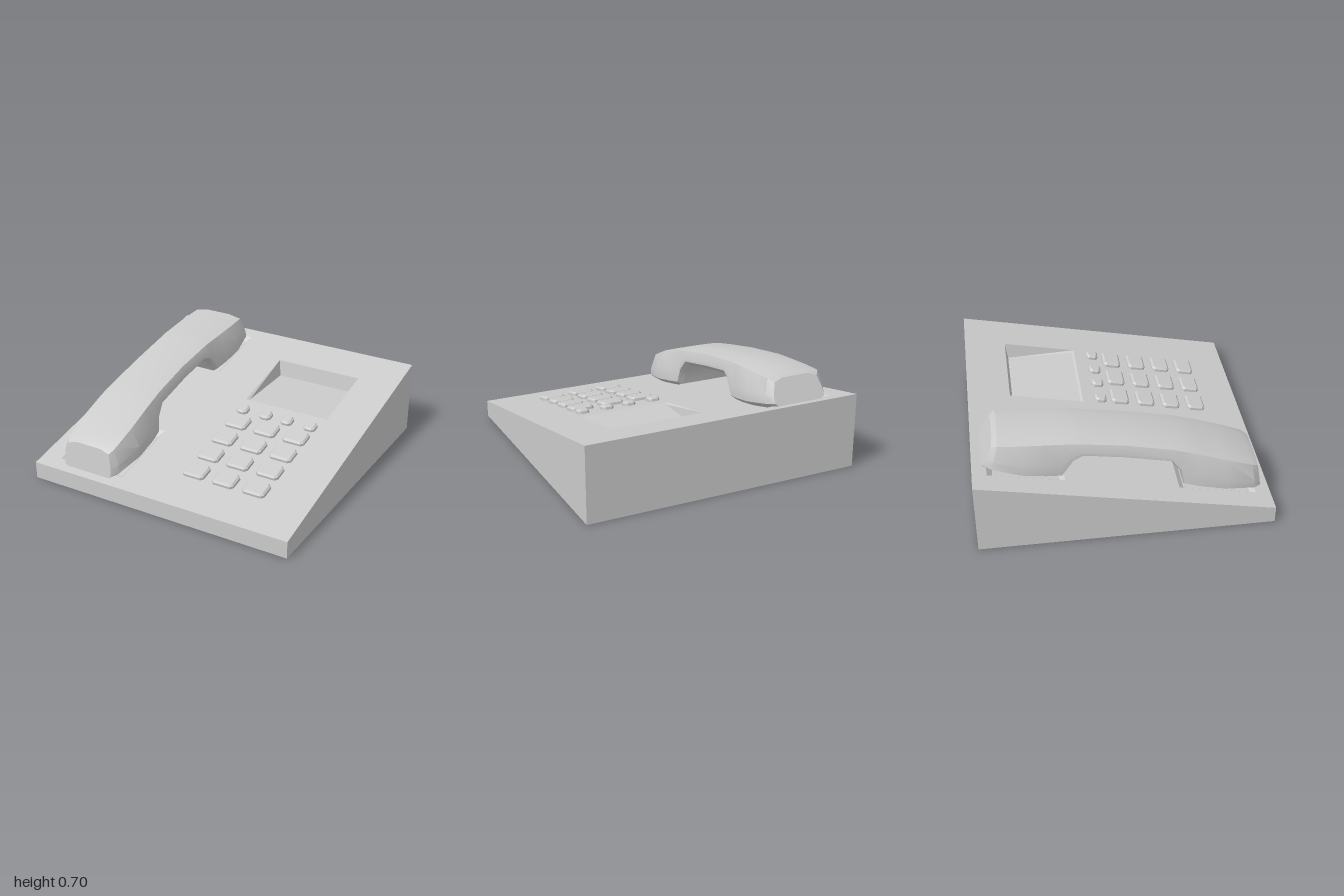
import * as THREE from 'three';
import { toCreasedNormals } from 'three/addons/utils/BufferGeometryUtils.js';

const material = new THREE.MeshStandardMaterial({ color: 0xcccccc });
const slope = 0.205;
const surface = (z) => 0.325 - slope * z; // height of the sloping top

function makeMesh(name, geometry) {
  const mesh = new THREE.Mesh(geometry, material);
  mesh.name = name;
  return mesh;
}

// Flat-shaded geometry from four-cornered faces
function fromQuads(quads) {
  const pos = [];
  for (const [a, b, c, d] of quads) pos.push(...a, ...b, ...c, ...a, ...c, ...d);
  const g = new THREE.BufferGeometry();
  g.setAttribute('position', new THREE.Float32BufferAttribute(pos, 3));
  g.computeVertexNormals();
  return g;
}

// Corners of a rectangle, counter-clockwise from above, with height from a rule
const corners = (x0, x1, z0, z1, height) =>
  [[x0, z1], [x1, z1], [x1, z0], [x0, z0]].map(([x, z]) => [x, height(z), z]);

// Band of four faces between two corner loops
const band = (a, b) => a.map((p, k) => [p, a[(k + 1) % 4], b[(k + 1) % 4], b[k]]);

// Sunken areas in the top: screen and the two handset cradles
const recesses = [
  { name: 'screenRecess', rect: [0.035, 0.685, -0.7, -0.18], inset: 0.018, floor: () => 0.352 },
  { name: 'earCradle', rect: [-0.84, -0.32, -0.9, -0.4], inset: 0.035, floor: (z) => surface(z) - 0.03 },
  { name: 'mouthCradle', rect: [-0.84, -0.32, 0.36, 0.89], inset: 0.035, floor: (z) => surface(z) - 0.03 },
];

function createBase() {
  const base = new THREE.Group();
  base.name = 'base';
  const w = 0.985, d = 0.995;
  const low = corners(-w, w, -d, d, () => 0);
  const high = corners(-w, w, -d, d, surface);
  base.add(makeMesh('baseSides', fromQuads([...band(low, high), [...low].reverse()])));

  // Sloping top plate with holes for the recesses
  const outline = (x0, x1, z0, z1, Type) =>
    new Type([[x0, -z1], [x1, -z1], [x1, -z0], [x0, -z0]].map((p) => new THREE.Vector2(...p)));
  const shape = outline(-w, w, -d, d, THREE.Shape);
  for (const r of recesses) shape.holes.push(outline(...r.rect, THREE.Path));
  const top = new THREE.ShapeGeometry(shape).rotateX(-Math.PI / 2);
  const p = top.attributes.position;
  for (let i = 0; i < p.count; i++) p.setY(i, surface(p.getZ(i)));
  top.computeVertexNormals();
  base.add(makeMesh('baseTop', top));

  for (const { name, rect: [x0, x1, z0, z1], inset: n, floor } of recesses) {
    const rim = corners(x0, x1, z0, z1, surface);
    const inner = corners(x0 + n, x1 - n, z0 + n, z1 - n, floor);
    base.add(makeMesh(name, fromQuads([...band(rim, inner), inner])));
  }
  return base;
}

// Key with clipped corners and a bevelled top, lying on the slope
function createKey(name, x, z, width, depth) {
  const bevel = 0.012, c = 0.012;
  const a = width / 2 - bevel, b = depth / 2 - bevel;
  const shape = new THREE.Shape([
    [a - c, -b], [a, -b + c], [a, b - c], [a - c, b], [-a + c, b], [-a, b - c], [-a, -b + c], [-a + c, -b],
  ].map((q) => new THREE.Vector2(...q)));
  const g = new THREE.ExtrudeGeometry(shape, {
    depth: 0.03, bevelEnabled: true, bevelThickness: bevel, bevelSize: bevel, bevelSegments: 1,
  });
  g.translate(0, 0, -0.012).rotateX(-Math.PI / 2 + Math.atan(slope));
  const key = makeMesh(name, g);
  key.position.set(x, surface(z), z);
  return key;
}

function createKeypad() {
  const keypad = new THREE.Group();
  keypad.name = 'keypad';
  for (const x of [0.083, 0.27, 0.437, 0.62]) keypad.add(createKey('functionKey', x, -0.052, 0.085, 0.085));
  for (const z of [0.09, 0.278, 0.465, 0.652])
    for (const x of [0.122, 0.35, 0.58]) keypad.add(createKey('numberKey', x, z, 0.165, 0.13));
  return keypad;
}

// Handset lofted from sections: top z, top y, bottom z, bottom y, shoulder and side half widths
function createHandset() {
  const rest = (z) => surface(z) - 0.02;
  const stations = [
    [0.91, 0.325, 0.94, rest(0.94), 0.17, 0.19],
    [0.87, 0.352, 0.89, rest(0.89), 0.19, 0.225],
    [0.68, 0.425, 0.68, rest(0.68), 0.2, 0.26],
    [0.5, 0.49, 0.5, rest(0.5), 0.197, 0.25],
    [0.41, 0.52, 0.4, rest(0.4), 0.195, 0.232],
    [0.37, 0.53, 0.375, 0.335, 0.193, 0.222],
    [0.31, 0.547, 0.315, 0.41, 0.19, 0.212],
    [0, 0.615, 0, 0.475, 0.185, 0.205],
    [-0.27, 0.658, -0.27, 0.525, 0.19, 0.212],
    [-0.35, 0.67, -0.335, 0.5, 0.193, 0.222],
    [-0.42, 0.675, -0.415, rest(-0.415), 0.195, 0.232],
    [-0.52, 0.683, -0.52, rest(-0.52), 0.198, 0.25],
    [-0.68, 0.694, -0.68, rest(-0.68), 0.2, 0.26],
    [-0.815, 0.702, -0.88, rest(-0.88), 0.195, 0.225],
    [-0.85, 0.68, -0.94, rest(-0.94), 0.165, 0.19],
  ];
  const rings = stations.map(([zt, yt, zb, yb, shoulder, side]) => {
    const h = yt - yb;
    const half = [
      [side - 0.045, 0], [side, 0.035 / h], [side, 0.42], [shoulder, 1 - 0.022 / h], [0.1, 1],
    ];
    const full = [...half, ...half.map(([x, v]) => [-x, v]).reverse()];
    return full.map(([x, v]) => [x, yb + h * v, zb + (zt - zb) * v]);
  });
  const n = rings[0].length, last = rings.length - 1;
  const index = [];
  for (let i = 0; i < last; i++)
    for (let j = 0; j < n; j++) {
      const a = i * n + j, b = i * n + ((j + 1) % n), c = a + n, d = b + n;
      index.push(a, c, b, b, c, d);
    }
  // End caps
  for (let j = 1; j < n - 1; j++) {
    index.push(0, j, j + 1, last * n, last * n + j + 1, last * n + j);
  }
  const g = new THREE.BufferGeometry();
  g.setAttribute('position', new THREE.Float32BufferAttribute(rings.flat(2), 3));
  g.setIndex(index);
  const handset = makeMesh('handset', toCreasedNormals(g, 0.5));
  handset.position.x = -0.58;
  return handset;
}

export function createModel() {
  const model = new THREE.Group();
  model.name = 'deskTelephone';
  model.add(createBase(), createKeypad(), createHandset());
  return model;
}
